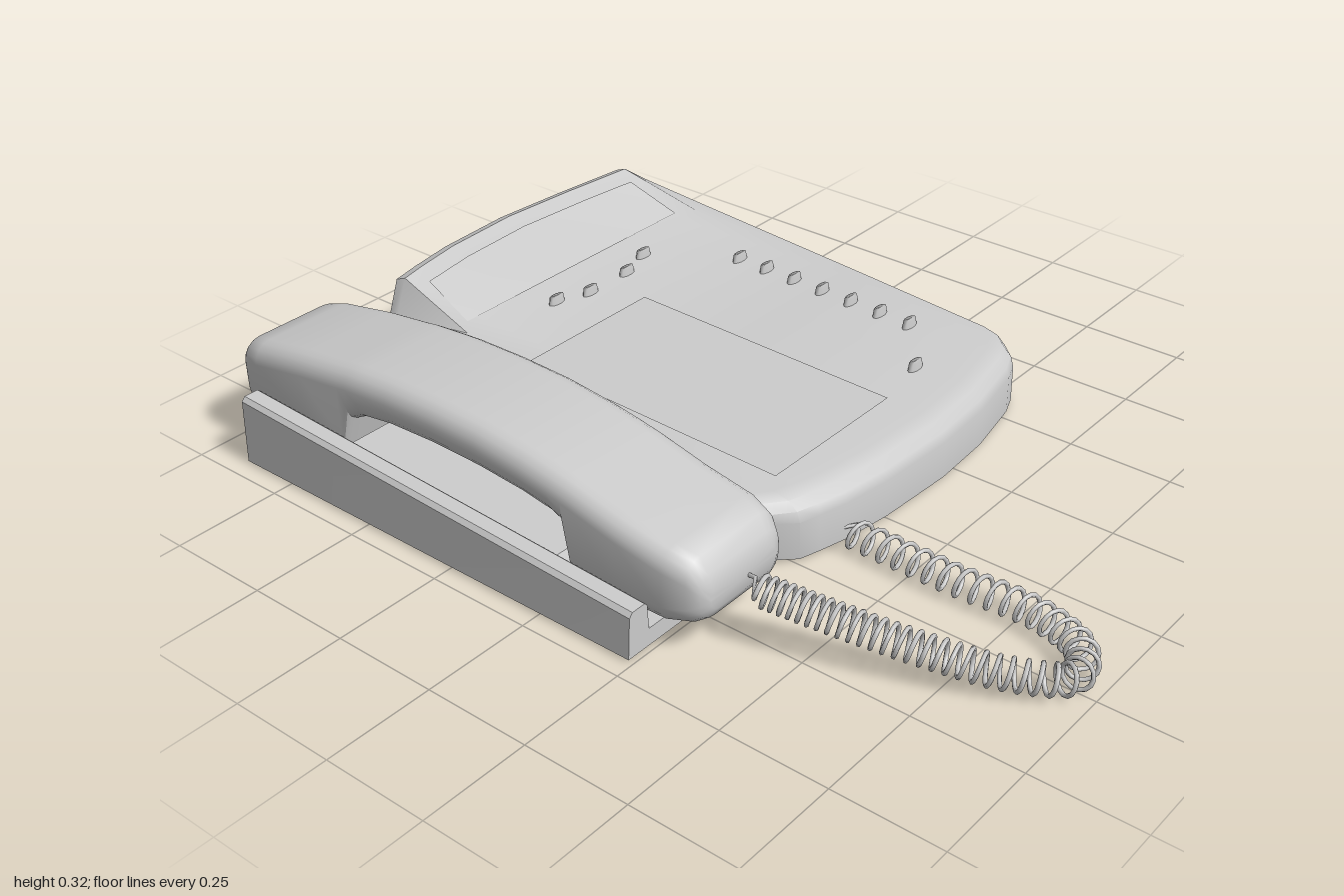
import * as THREE from 'three';
import { toCreasedNormals } from 'three/addons/utils/BufferGeometryUtils.js';

const material = new THREE.MeshStandardMaterial({ color: 0xcccccc, side: THREE.DoubleSide });

// Skin a list of equal-length rings of [x, y, z]; optionally close rings and cap ends
function loft(rings, { closed = false, capStart = false, capEnd = false, crease = 0.6 } = {}) {
  const n = rings[0].length, pos = rings.flat(2), idx = [];
  for (let i = 0; i < rings.length - 1; i++) {
    for (let j = 0; j < (closed ? n : n - 1); j++) {
      const a = i * n + j, b = i * n + (j + 1) % n;
      idx.push(a, a + n, b, b, a + n, b + n);
    }
  }
  const cap = (r, flip) => {
    const c = pos.length / 3;
    for (let k = 0; k < 3; k++) pos.push(rings[r].reduce((s, p) => s + p[k], 0) / n);
    for (let j = 0; j < n; j++) {
      const a = r * n + j, b = r * n + (j + 1) % n;
      idx.push(c, flip ? b : a, flip ? a : b);
    }
  };
  if (capStart) cap(0, false);
  if (capEnd) cap(rings.length - 1, true);
  const g = new THREE.BufferGeometry();
  g.setAttribute('position', new THREE.Float32BufferAttribute(pos, 3));
  g.setIndex(idx);
  return toCreasedNormals(g, crease);
}

// The deck falls gently to one side and the rear edge runs at a slant
const deckY = x => 0.172 - 0.022 * (x + 0.72);
const skewZ = (x, z) => z < -0.2 ? z + 0.075 * (x + 0.89) * (-0.2 - z) / 0.51 : z;

export function createModel() {
  const model = new THREE.Group();
  const add = (name, geometry) => {
    const mesh = new THREE.Mesh(geometry, material);
    mesh.name = name;
    model.add(mesh);
    return mesh;
  };

  // Hollow body: [z, left x, right x, ridge height, deck drop]
  const stations = [
    [-0.71, -0.89, 0.24, 0.15, 0.02], [-0.70, -0.90, 0.25, 0.165, 0.006],
    [-0.65, -0.95, 0.295, 0.205, 0], [-0.59, -0.965, 0.315, 0.25, 0],
    [-0.4, -0.985, 0.345, 0.25, 0], [-0.2, -1.0, 0.355, 0.25, 0],
    [0, -0.99, 0.345, 0.25, 0], [0.12, -0.97, 0.328, 0.25, 0],
    [0.19, -0.955, 0.31, 0.25, 0], [0.24, -0.935, 0.295, 0.178, 0],
    [0.29, -0.89, 0.24, 0.165, 0.008], [0.34, -0.89, 0.24, 0.155, 0.015],
  ];
  add('body', loft(stations.map(([z, l, r, h, d]) => [
    [l, 0.01], [l, 0.11], [l + 0.015, h - 0.012], [l + 0.045, h],
    [-0.71, deckY(-0.71) - d], [-0.2, deckY(-0.2) - d],
    [r - 0.07, deckY(r) - d], [r - 0.03, deckY(r) - 0.008 - d],
    [r - 0.008, deckY(r) - 0.026 - d], [r, 0.1], [r, 0.01],
  ].map(([x, y]) => [x, y, skewZ(x, z)])), { capStart: true }));

  // Cradle: two sunken pockets between the body and a sloping front lip
  const lipY = x => 0.17 - 0.049 * (x + 0.89);
  const xs = [-0.89, -0.89, -0.63, -0.6, 0.0, 0.03, 0.24, 0.24];
  const floorY = [0.01, 0.085, 0.085, 0.14, 0.115, 0.05, 0.05, 0.01];
  const cradleRing = (z, height) => xs.map((x, i) => [x, i % 7 ? height(x, i) : 0.01, z]);
  add('cradle', loft([
    cradleRing(0.34, x => deckY(x) - 0.015),
    cradleRing(0.343, (x, i) => floorY[i]),
    cradleRing(0.645, (x, i) => floorY[i]),
    cradleRing(0.648, x => lipY(x) - 0.006),
    cradleRing(0.655, lipY),
    cradleRing(0.69, lipY),
    cradleRing(0.699, x => lipY(x) - 0.01),
    cradleRing(0.706, () => 0.01),
  ], { crease: 0.5 }));

  // Display window on the raised slope
  add('displayWindow', loft([
    [-0.56, -0.872], [-0.4, -0.89], [-0.2, -0.905], [0, -0.895], [0.15, -0.872],
  ].map(([z, x]) => [[x, 0.238, z], [-0.735, 0.184, z + Math.sign(z + 0.2) * 0.015]])));

  // Flush keypad panel
  add('keypadPanel', loft([-0.2, 0.2].map(z =>
    [-0.51, -0.2, 0.2].map(x => [x, deckY(x) + 0.003, z]))));

  // Oval buttons
  const spots = [[0.17, -0.35], [-0.655, -0.36], [-0.625, -0.265], [-0.625, -0.135], [-0.655, -0.05]];
  for (let i = 0; i < 7; i++) spots.push([-0.46 + i * 0.085, -0.5]);
  const buttonGeometry = toCreasedNormals(new THREE.CylinderGeometry(0.8, 1, 0.03, 10), 0.7);
  for (const [x, z] of spots) {
    const button = add('button', buttonGeometry);
    button.scale.set(0.012, 1, 0.027);
    button.position.set(x, deckY(x) + 0.003, z);
  }

  // Handset: [x, bottom, top, half width, corner radius]
  const grip = [
    [-0.985, 0.135, 0.205, 0.10, 0.03], [-0.975, 0.115, 0.235, 0.12, 0.04],
    [-0.95, 0.10, 0.255, 0.137, 0.045], [-0.9, 0.093, 0.268, 0.147, 0.045],
    [-0.75, 0.09, 0.295, 0.148, 0.045], [-0.63, 0.09, 0.31, 0.148, 0.045],
    [-0.605, 0.185, 0.314, 0.148, 0.045], [-0.57, 0.203, 0.317, 0.148, 0.045],
    [-0.48, 0.216, 0.324, 0.148, 0.045], [-0.35, 0.221, 0.326, 0.148, 0.045],
    [-0.22, 0.218, 0.322, 0.148, 0.045], [-0.1, 0.208, 0.309, 0.148, 0.045],
    [-0.02, 0.195, 0.296, 0.148, 0.045], [0.015, 0.18, 0.289, 0.148, 0.045],
    [0.035, 0.065, 0.285, 0.148, 0.045], [0.15, 0.063, 0.257, 0.148, 0.045],
    [0.27, 0.065, 0.236, 0.147, 0.045], [0.32, 0.075, 0.222, 0.135, 0.045],
    [0.345, 0.09, 0.195, 0.12, 0.04], [0.355, 0.11, 0.165, 0.10, 0.025],
  ];
  add('handset', loft(grip.map(([x, lo, hi, w, r]) => {
    const ring = [];
    for (let q = 0; q < 4; q++) for (let k = 0; k < 5; k++) {
      const a = (q + k / 4) * Math.PI / 2;
      const cz = (q === 0 || q === 3 ? 1 : -1) * (w - r);
      const cy = q < 2 ? hi - r : lo + r;
      ring.push([x, cy + r * Math.sin(a), 0.495 + cz + r * Math.cos(a)]);
    }
    return ring;
  }), { closed: true, capStart: true, capEnd: true, crease: 0.75 }));

  // Coiled cord looping from the handset back to the body
  const path = new THREE.CatmullRomCurve3([
    [0.4, 0.135, 0.505], [0.55, 0.105, 0.455], [0.72, 0.075, 0.395], [0.86, 0.05, 0.33],
    [0.95, 0.04, 0.255], [0.92, 0.04, 0.175], [0.8, 0.04, 0.13], [0.6, 0.04, 0.135], [0.34, 0.04, 0.13],
  ].map(p => new THREE.Vector3(...p)));
  const up = new THREE.Vector3(0, 1, 0), turns = 46, steps = turns * 14;
  const points = [new THREE.Vector3(0.34, 0.135, 0.48), new THREE.Vector3(0.37, 0.135, 0.48)];
  for (let i = 0; i <= steps; i++) {
    const t = i / steps;
    const u = 0.6 * t + 0.4 * t * t; // coils open out towards the body
    const tangent = path.getTangentAt(u);
    const side = new THREE.Vector3().crossVectors(tangent, up).normalize();
    const rise = new THREE.Vector3().crossVectors(side, tangent);
    const a = t * turns * Math.PI * 2;
    points.push(path.getPointAt(u)
      .addScaledVector(side, 0.031 * Math.cos(a)).addScaledVector(rise, 0.031 * Math.sin(a)));
  }
  points.push(new THREE.Vector3(0.32, 0.04, 0.13));
  // Each point is already a fine step, so the tube follows them one by one
  const coil = new THREE.CatmullRomCurve3(points);
  coil.getPointAt = coil.getPoint;
  coil.getTangentAt = coil.getTangent;
  add('coiledCord', new THREE.TubeGeometry(coil, points.length - 1, 0.005, 6));

  return model;
}
